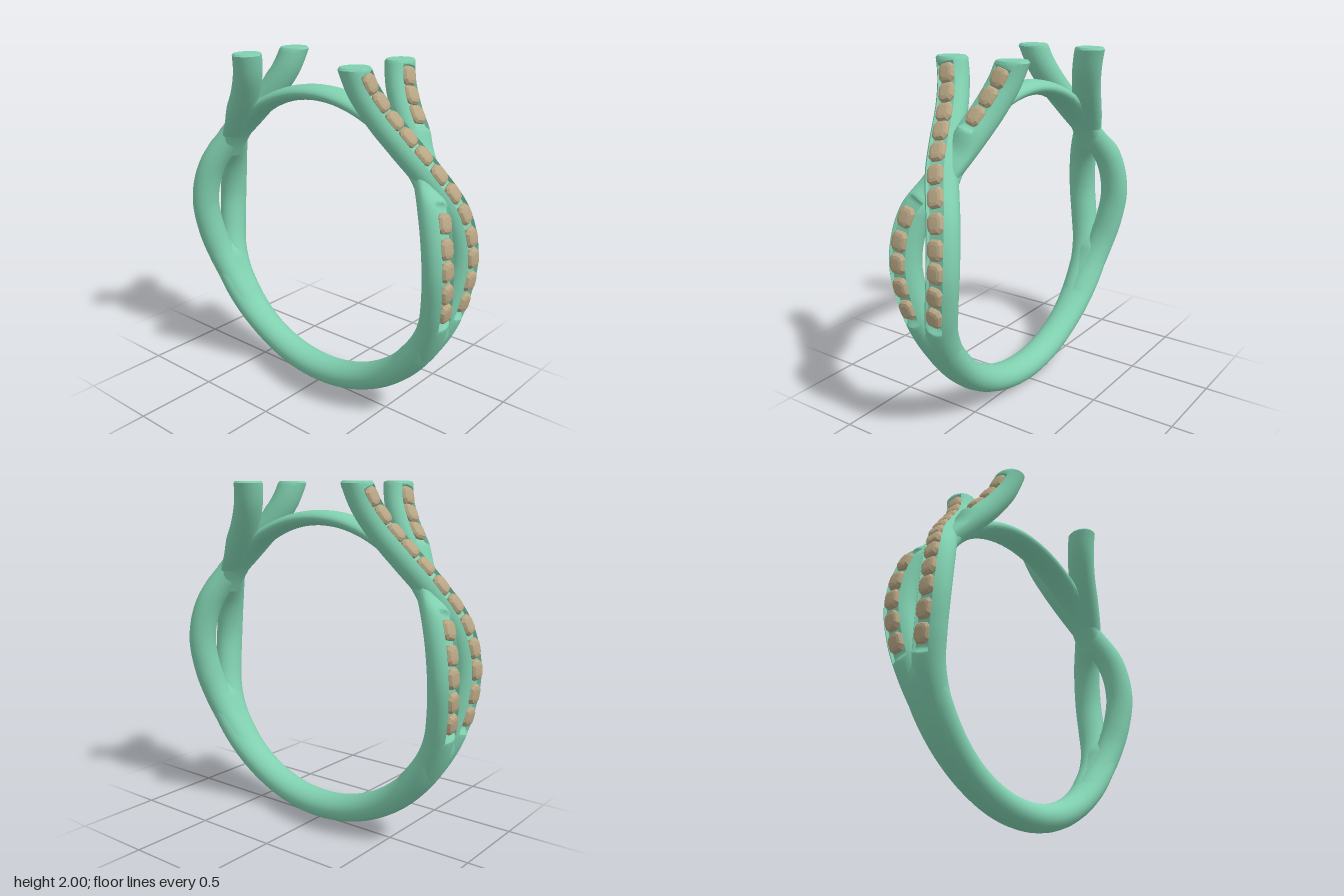
import * as THREE from 'three';
import { toCreasedNormals } from 'three/addons/utils/BufferGeometryUtils.js';

const CENTRE_Y = 0.96, TOP = 2, FLOOR = 0.042;
const metal = new THREE.MeshStandardMaterial({ color: 0x80d0b0 });
const gem = new THREE.MeshStandardMaterial({ color: 0xb8a684, flatShading: true });
const { smoothstep, lerp } = THREE.MathUtils;

// Angles round a section; 0 faces outward, 0.60 / 0.64 are the foot and rim of the stone channel
const half = [0.3, 0.6, 0.64, 0.85, 1.1, 1.35, 1.6, 1.85, 2.1, 2.35, 2.6, 2.87];
const ANGLES = [0, ...half, Math.PI, ...half.slice().reverse().map((a) => -a)];

// Tangent, outward normal (kept in the ring plane) and side direction at section i
function frame(sections, i) {
  const p0 = sections[Math.max(i - 1, 0)].p;
  const p1 = sections[Math.min(i + 1, sections.length - 1)].p;
  const t = p1.clone().sub(p0).normalize();
  const n = new THREE.Vector3(t.y, -t.x, 0).normalize();
  return { t, n, v: n.clone().cross(t) };
}

// Sweep elliptical sections {p, a: radial, b: sideways, groove, dip}; optional flat top at limit
function sweep(name, sections, limit = Infinity) {
  const pos = [], index = [], m = ANGLES.length, rings = [];
  sections.forEach((s, i) => {
    const { t, n, v } = frame(sections, i);
    rings.push(ANGLES.map((f) => {
      let u = s.a * Math.cos(f);
      if (u > 0) u *= 1 - (s.dip || 0);
      if (Math.abs(f) < 0.61) u = lerp(u, FLOOR, s.groove || 0);
      const q = s.p.clone().addScaledVector(n, u).addScaledVector(v, s.b * Math.sin(f));
      if (q.y > limit) q.addScaledVector(t, (limit - q.y) / t.y);
      return q;
    }));
  });
  const middle = (r) => r.reduce((c, q) => c.add(q), new THREE.Vector3()).divideScalar(m);
  if (limit < Infinity) { // small bevel round the cut end
    const last = rings[rings.length - 1], c = middle(last);
    rings.push(last.map((q) => q.clone().lerp(c, 0.1).setY(TOP)));
  }
  rings.forEach((r) => r.forEach((q) => pos.push(q.x, q.y, q.z)));
  const n = rings.length;
  [rings[0], rings[n - 1]].forEach((r) => pos.push(...middle(r).toArray()));
  for (let j = 0; j < m; j++) {
    const k = (j + 1) % m;
    for (let i = 0; i < n - 1; i++) {
      const a = i * m + j, b = i * m + k;
      index.push(a, a + m, b, b, a + m, b + m);
    }
    index.push(n * m, j, k, n * m + 1, (n - 1) * m + k, (n - 1) * m + j);
  }
  const g = new THREE.BufferGeometry();
  g.setAttribute('position', new THREE.Float32BufferAttribute(pos, 3));
  g.setIndex(index);
  const mesh = new THREE.Mesh(toCreasedNormals(g, 0.7), metal);
  mesh.name = name;
  return mesh;
}

// Part of the hoop between two angles; size(angle) gives r, a, b
function arc(name, from, to, count, size) {
  const sections = [];
  for (let i = 0; i <= count; i++) {
    const th = lerp(from, to, i / count), { r, a, b } = size(th);
    sections.push({ p: new THREE.Vector3(r * Math.cos(th), CENTRE_Y + r * Math.sin(th), 0), a, b });
  }
  return sweep(name, sections);
}

// Cushion-cut stone: a faceted lathe pushed out to a rounded square
function stoneGeometry() {
  const profile = [[0, -0.045], [0.03, -0.03], [0.048, -0.006], [0.048, 0.004], [0.04, 0.017], [0.026, 0.022], [0, 0.023]];
  const g = new THREE.LatheGeometry(profile.map(([r, y]) => new THREE.Vector2(r, y)), 12);
  const p = g.attributes.position;
  for (let i = 0; i < p.count; i++) {
    const x = p.getX(i), z = p.getZ(i), r = Math.hypot(x, z);
    if (r < 1e-6) continue;
    const k = Math.pow((x / r) ** 4 + (z / r) ** 4, -0.25);
    p.setX(i, x * k * 0.97);
    p.setZ(i, z * k * 1.12);
  }
  g.computeVertexNormals();
  return g;
}

const PATH = [
  [0.62, 0.335, -0.012], [0.755, 0.51, -0.03], [0.83, 0.66, -0.058], [0.868, 0.82, -0.095],
  [0.88, 1.03, -0.122], [0.835, 1.25, -0.095], [0.72, 1.46, 0], [0.61, 1.6, 0.06],
  [0.49, 1.75, 0.115], [0.415, 1.88, 0.16], [0.385, 1.98, 0.19], [0.372, 2.06, 0.215],
];

// One strand with its channel and stones; the under strand is mirrored and dips below the crossing
function strand(name, side, under, stoneGeo) {
  const group = new THREE.Group();
  group.name = name;
  const curve = new THREE.CatmullRomCurve3(PATH.map(([x, y, z]) => new THREE.Vector3(x, y, z * side)));
  const channels = under ? [[0.7, 1.34], [1.63, 1.96]] : [[0.7, 1.96]];
  const sections = curve.getSpacedPoints(200).map((p) => ({
    p, a: 0.078, b: 0.088,
    groove: Math.max(...channels.map(([lo, hi]) =>
      smoothstep(p.y, lo, lo + 0.03) * (1 - smoothstep(p.y, hi - 0.02, hi)))),
    dip: under ? 0.52 * smoothstep(p.y, 1.28, 1.4) * (1 - smoothstep(p.y, 1.54, 1.66)) : 0,
  }));
  group.add(sweep('strandBody', sections, TOP - 0.012));

  const first = sections.findIndex((s) => s.p.y > 0.78);
  const last = sections.findIndex((s) => s.p.y > 1.9);
  for (let k = 0; k < 12; k++) {
    const i = Math.round(lerp(first, last, k / 11)), p = sections[i].p;
    if (under && p.y > 1.32 && p.y < 1.66) continue;
    const { t, n, v } = frame(sections, i);
    const stone = new THREE.Mesh(stoneGeo, gem);
    stone.name = 'stone';
    stone.quaternion.setFromRotationMatrix(new THREE.Matrix4().makeBasis(v, n, t));
    stone.position.copy(p).addScaledVector(n, 0.057);
    group.add(stone);
  }
  return group;
}

export function createModel() {
  const model = new THREE.Group();
  model.name = 'ring';

  // Lower shank, widening up to the forks and tapering away between the strands
  model.add(arc('shank', -Math.PI + 0.22, -0.22, 120, (th) => {
    const rise = Math.abs(th + Math.PI / 2);
    const end = smoothstep(rise, 1.15, 1.35);
    return { r: 0.88, a: lerp(0.08, 0.035, end), b: lerp(0.094 + 0.032 * smoothstep(rise, 0.4, 1.2), 0.06, end) };
  }));

  // Thin band closing the hoop at the top
  model.add(arc('topBand', 0.47, Math.PI - 0.47, 90, (th) => {
    const a = 0.043 + 0.012 * smoothstep(Math.abs(th - Math.PI / 2), 0.4, 0.95);
    return { r: 0.795 + a, a, b: 0.093 };
  }));

  // Crossing strands, repeated by a half turn
  const stoneGeo = stoneGeometry();
  [['left', 0], ['right', Math.PI]].forEach(([name, turn]) => {
    const shoulder = new THREE.Group();
    shoulder.name = name + 'Shoulder';
    shoulder.add(strand('overStrand', 1, false, stoneGeo), strand('underStrand', -1, true, stoneGeo));
    shoulder.rotation.y = turn;
    model.add(shoulder);
  });
  return model;
}
